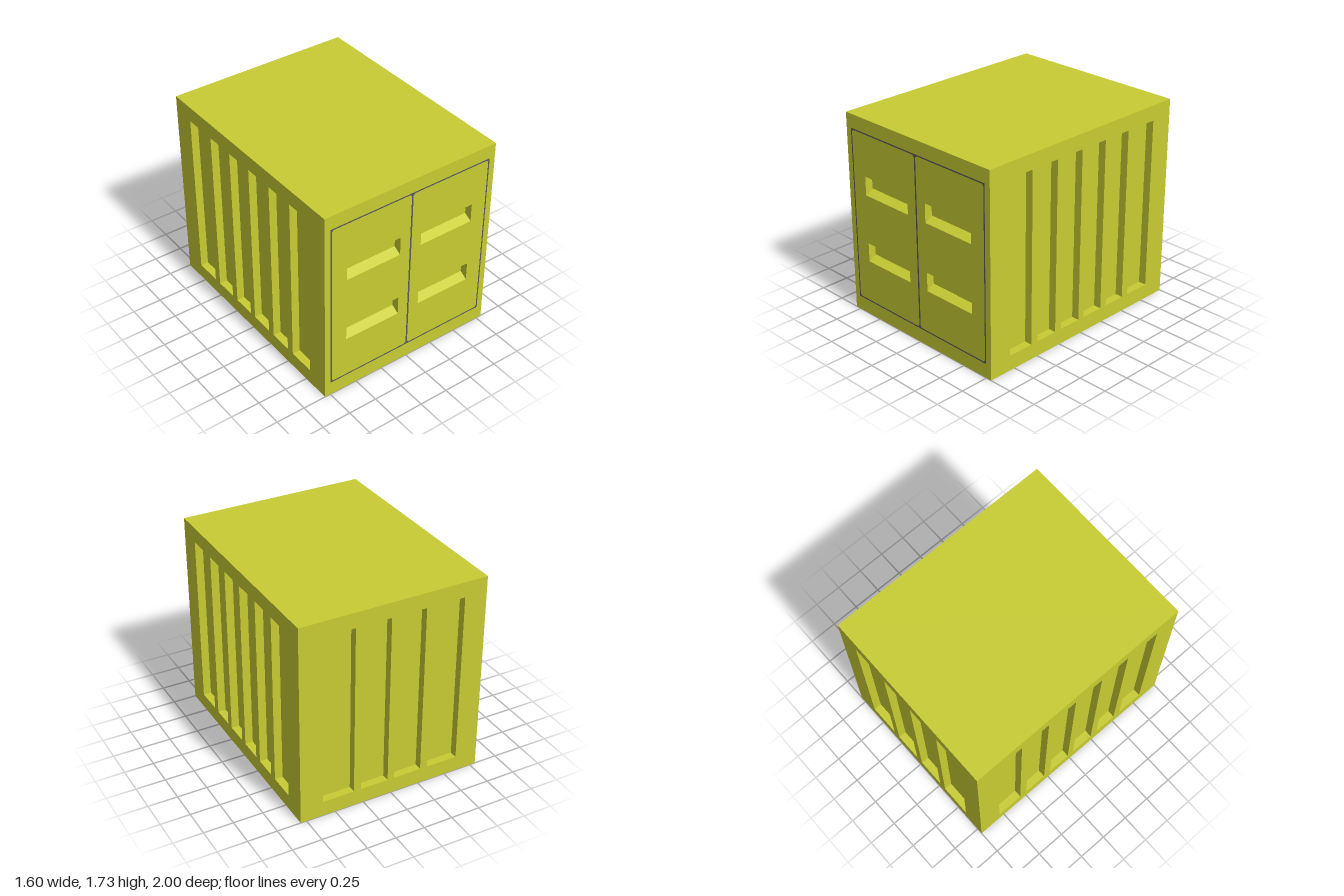
import * as THREE from 'three';
import { mergeGeometries } from 'three/addons/utils/BufferGeometryUtils.js';

const W = 1.6, H = 1.73, D = 2;   // container size
const DEPTH = 0.067;              // depth of all pressed recesses

const paint = new THREE.MeshStandardMaterial({ name: 'yellow green paint', color: 0xc8cc32 });
const seal = new THREE.MeshStandardMaterial({ name: 'grey door seal', color: 0x5a5b60 });

// Closed outline of a rectangle, with optional cut corners
function rectPoints(x0, y0, x1, y1, c = 0) {
  const p = c
    ? [[x0 + c, y0], [x1 - c, y0], [x1, y0 + c], [x1, y1 - c], [x1 - c, y1], [x0 + c, y1], [x0, y1 - c], [x0, y0 + c]]
    : [[x0, y0], [x1, y0], [x1, y1], [x0, y1]];
  return p.map(([x, y]) => new THREE.Vector2(x, y));
}

// Floor and four walls of a recess; slope insets the floor at top and bottom
function pocket({ x0, y0, x1, y1, slope = 0 }) {
  const outer = rectPoints(x0, y0, x1, y1).map(p => [p.x, p.y, 0]);
  const inner = rectPoints(x0, y0 + slope, x1, y1 - slope).map(p => [p.x, p.y, -DEPTH]);
  const pos = [];
  const quad = (a, b, c, d) => pos.push(...a, ...b, ...c, ...a, ...c, ...d);
  quad(...inner);
  for (let k = 0; k < 4; k++) {
    const n = (k + 1) % 4;
    quad(outer[k], outer[n], inner[n], inner[k]);
  }
  const g = new THREE.BufferGeometry();
  g.setAttribute('position', new THREE.Float32BufferAttribute(pos, 3));
  g.computeVertexNormals();
  return g;
}

// Upright wall of the given width with recesses pressed into it
function wall(name, width, recesses, angle, distance) {
  const shape = new THREE.Shape(rectPoints(-width / 2, 0, width / 2, H));
  for (const r of recesses) shape.holes.push(new THREE.Path(rectPoints(r.x0, r.y0, r.x1, r.y1)));
  const face = new THREE.ShapeGeometry(shape).toNonIndexed();
  face.deleteAttribute('uv');
  const geometry = mergeGeometries([face, ...recesses.map(pocket)]);
  geometry.translate(0, 0, distance).rotateY(angle);
  const mesh = new THREE.Mesh(geometry, paint);
  mesh.name = name;
  return mesh;
}

// Tall corrugation recesses, mirrored about the wall's middle
function corrugation(spans) {
  return spans.flatMap(([a, b]) => [
    { x0: a, x1: b, y0: 0.13, y1: 1.6 },
    { x0: -b, x1: -a, y0: 0.13, y1: 1.6 },
  ]);
}

export function createModel() {
  const group = new THREE.Group();
  group.name = 'shippingContainer';

  // Corrugated side and back walls
  const sideRecesses = corrugation([[0.03, 0.233], [0.3, 0.5], [0.567, 0.8]]);
  const backRecesses = corrugation([[0.03, 0.27], [0.333, 0.605]]);
  group.add(wall('leftWall', D, sideRecesses, Math.PI / 2, W / 2));
  group.add(wall('rightWall', D, sideRecesses, -Math.PI / 2, W / 2));
  group.add(wall('backWall', W, backRecesses, Math.PI, D / 2));

  // Front wall with two sloped hand recesses in each door
  const grips = [];
  for (const y0 of [0.495, 1.08]) {
    for (const x0 of [-0.6, 0.1]) grips.push({ x0, x1: x0 + 0.5, y0, y1: y0 + 0.162, slope: 0.04 });
  }
  group.add(wall('frontWall', W, grips, 0, D / 2));

  // Roof and floor
  for (const [name, y, turn] of [['roof', H, -1], ['floor', 0, 1]]) {
    const plate = new THREE.Mesh(new THREE.PlaneGeometry(W, D), paint);
    plate.rotation.x = turn * Math.PI / 2;
    plate.position.y = y;
    plate.name = name;
    group.add(plate);
  }

  // Thin seal around both doors, with small gussets in the corners
  const outline = new THREE.Shape(rectPoints(-0.747, 0.123, 0.747, 1.612));
  for (const [a, b] of [[-0.736, -0.007], [0.007, 0.736]]) {
    outline.holes.push(new THREE.Path(rectPoints(a, 0.134, b, 1.601, 0.016)));
  }
  const doorSeal = new THREE.Mesh(
    new THREE.ExtrudeGeometry(outline, { depth: 0.001, bevelEnabled: false }), seal);
  doorSeal.position.z = D / 2;
  doorSeal.name = 'doorSeal';
  group.add(doorSeal);

  return group;
}
